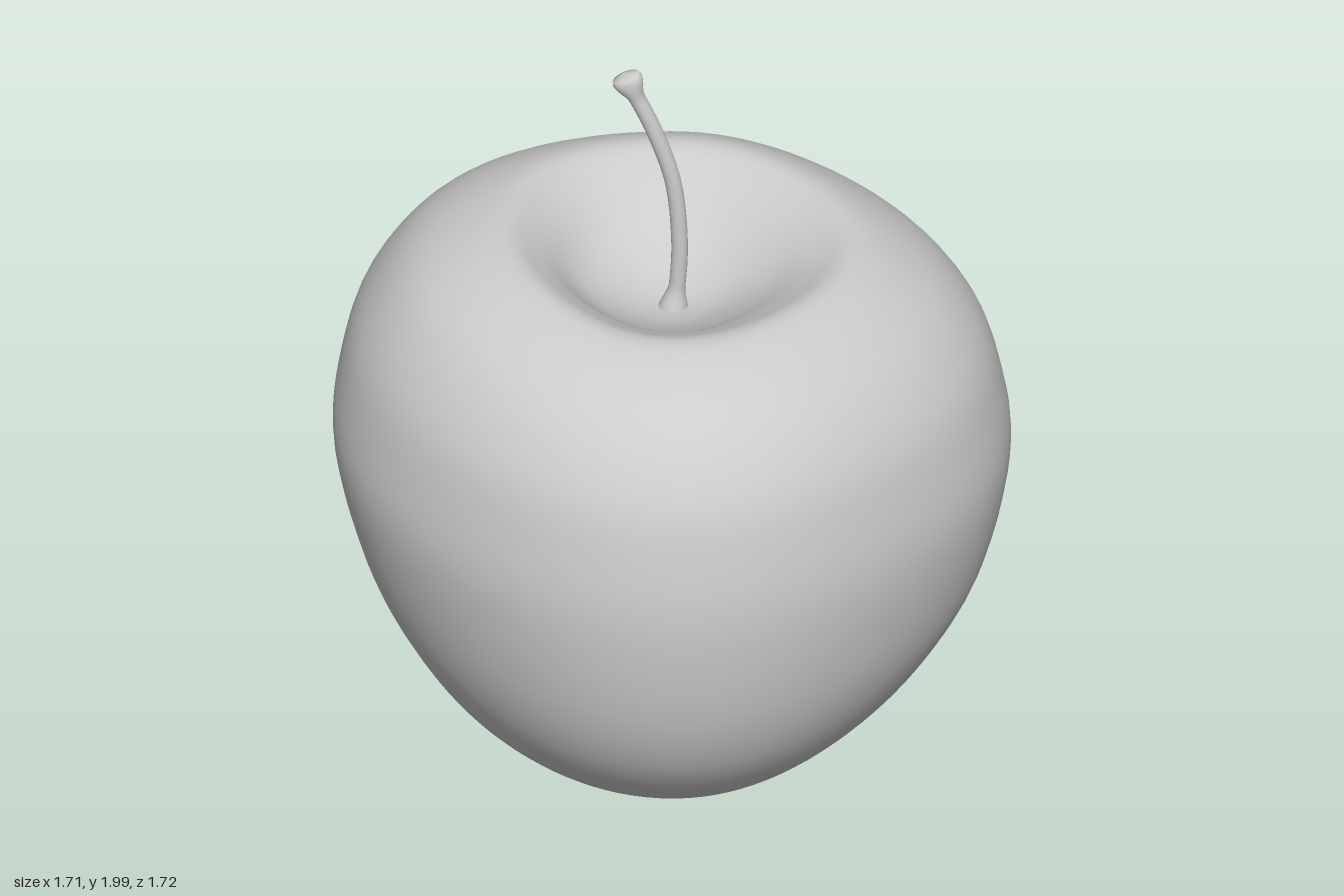
import * as THREE from 'three';
import { mergeVertices } from 'three/addons/utils/BufferGeometryUtils.js';

const ROWS = 84, SEGMENTS = 96;

// Weld the seam and rebuild smooth normals
function smooth(geometry) {
  geometry.deleteAttribute('uv');
  geometry.deleteAttribute('normal');
  const welded = mergeVertices(geometry, 1e-5);
  welded.computeVertexNormals();
  return welded;
}

// Half outlines [radius, height] running from the bottom hollow to the stem hollow
const bottom = [[0, 0.09], [0.08, 0.07], [0.17, 0.035]];
const hollow = [[0.23, 1.355], [0.11, 1.295], [0, 1.27]];
const sides = [
  // front (+z)
  [[0.29, 0.025], [0.455, 0.08], [0.61, 0.19], [0.746, 0.36], [0.825, 0.57], [0.858, 0.84],
    [0.84, 1.05], [0.79, 1.225], [0.667, 1.38], [0.47, 1.472], [0.35, 1.432]],
  // left (+x)
  [[0.27, 0.003], [0.42, 0.075], [0.57, 0.2], [0.7, 0.37], [0.798, 0.57], [0.855, 0.85],
    [0.83, 1.06], [0.775, 1.215], [0.66, 1.355], [0.48, 1.462], [0.36, 1.43]],
  // back (-z)
  [[0.26, 0.012], [0.445, 0.06], [0.63, 0.16], [0.75, 0.31], [0.825, 0.53], [0.858, 0.77],
    [0.83, 0.99], [0.76, 1.19], [0.645, 1.35], [0.47, 1.468], [0.35, 1.435]],
  // right (-x)
  [[0.28, 0.018], [0.42, 0.065], [0.57, 0.19], [0.69, 0.37], [0.785, 0.58], [0.854, 0.87],
    [0.842, 1.07], [0.785, 1.265], [0.65, 1.437], [0.45, 1.516], [0.34, 1.465]],
].map((side) => {
  const points = [...bottom, ...side, ...hollow].map(([r, y]) => new THREE.Vector2(r, y));
  return new THREE.SplineCurve(points).getPoints(ROWS);
});

// How much each diagonal is flattened: front-left, back-left, back-right, front-right
const flattening = [0.045, 0.032, -0.015, 0.035];

function createBody() {
  const geometry = new THREE.LatheGeometry(sides[0], SEGMENTS);
  const position = geometry.attributes.position;
  for (let i = 0; i <= SEGMENTS; i++) {
    const angle = ((i % SEGMENTS) / SEGMENTS) * Math.PI * 2;
    const quarter = Math.floor((i % SEGMENTS) / (SEGMENTS / 4));
    const blend = Math.sin(angle - quarter * Math.PI / 2) ** 2;
    const scale = 1 - flattening[quarter] * Math.sin(2 * angle) ** 2;
    for (let j = 0; j <= ROWS; j++) {
      const p = sides[quarter][j].clone().lerp(sides[(quarter + 1) % 4][j], blend);
      const r = Math.max(0, p.x) * scale;
      position.setXYZ(i * (ROWS + 1) + j, r * Math.sin(angle), p.y, r * Math.cos(angle));
    }
  }
  return smooth(geometry);
}

function createStem() {
  const path = new THREE.CatmullRomCurve3([
    [0, 1.25], [0.014, 1.36], [0.018, 1.48], [0.001, 1.66], [-0.048, 1.82], [-0.098, 1.935], [-0.123, 1.992],
  ].map(([x, y]) => new THREE.Vector3(x, y, 0)));
  const rings = 60, sidesAround = 20;
  const geometry = new THREE.TubeGeometry(path, rings, 1, sidesAround);
  const position = geometry.attributes.position;
  const v = new THREE.Vector3();
  for (let i = 0; i <= rings; i++) {
    const t = i / rings;
    const center = path.getPointAt(t);
    // Slim shaft, flared foot, widened tip with a rounded closed end
    const flare = THREE.MathUtils.smoothstep(t, 0.89, 0.97);
    const foot = 1 - THREE.MathUtils.smoothstep(t, 0, 0.12);
    let radius = 0.021 + 0.019 * flare + 0.02 * foot;
    if (i === rings - 1) radius *= 0.9;
    if (i === rings) radius = 0;
    for (let j = 0; j <= sidesAround; j++) {
      const k = i * (sidesAround + 1) + j;
      v.fromBufferAttribute(position, k).sub(center).multiplyScalar(radius);
      v.z *= 1 - 0.3 * flare;
      v.add(center);
      position.setXYZ(k, v.x, v.y, v.z);
    }
  }
  return smooth(geometry);
}

export function createModel() {
  const group = new THREE.Group();
  group.name = 'apple';
  const material = new THREE.MeshStandardMaterial({ color: 0xcccccc });
  const parts = { body: createBody(), stem: createStem() };
  for (const [name, geometry] of Object.entries(parts)) {
    const mesh = new THREE.Mesh(geometry, material);
    mesh.name = name;
    group.add(mesh);
  }
  return group;
}
